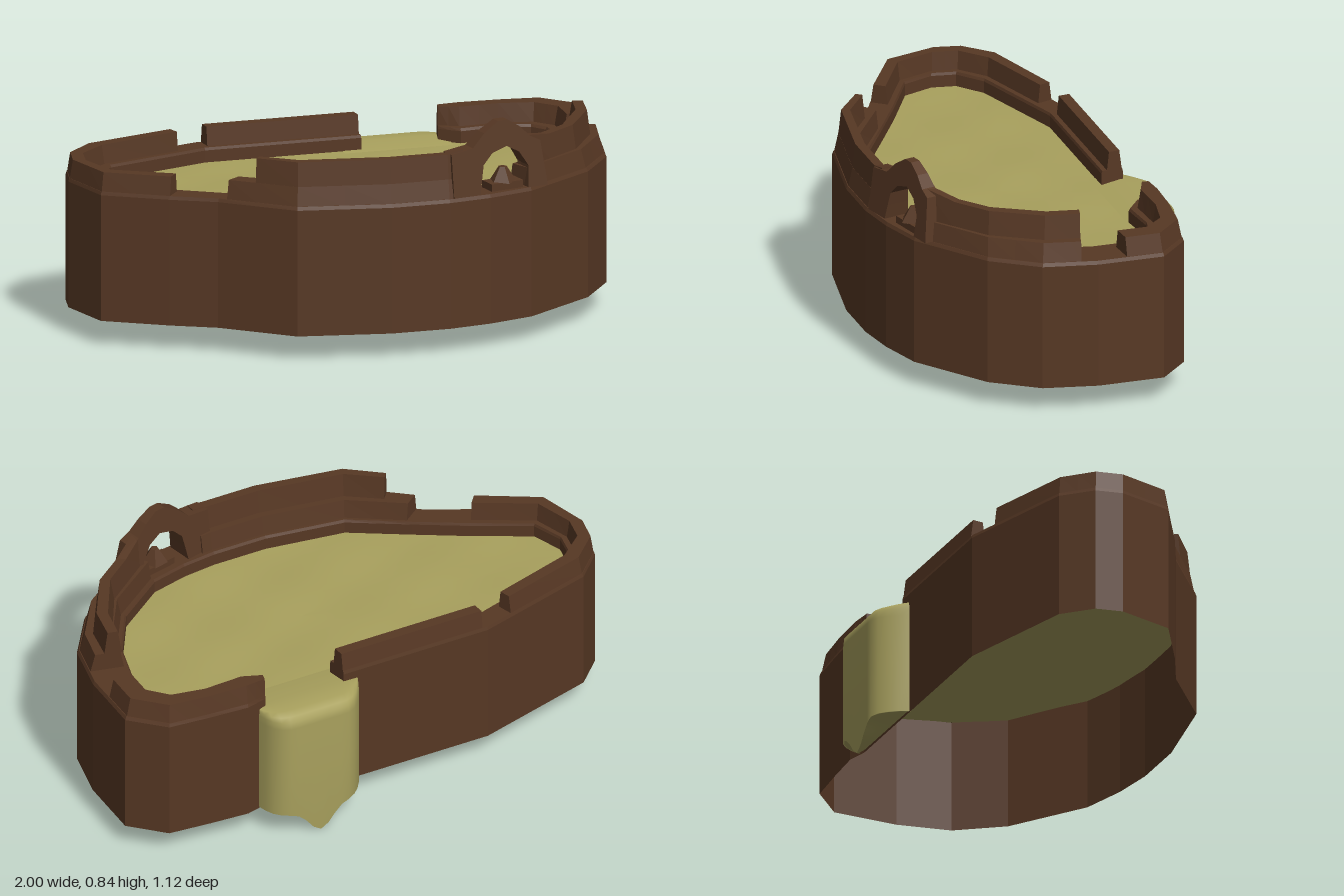
import * as THREE from 'three';

// Plan of the basin: [outer x, outer z, inner x, inner z], from the spout round by the right, front and left
const STATIONS = [
  [.49, -.45, .48, -.4], [.57, -.47, .55, -.345], [.72, -.46, .7, -.36], [.88, -.445, .81, -.33],
  [1, -.33, .85, -.28], [1, -.08, .85, -.1], [.96, .12, .81, .05], [.84, .29, .7, .23],
  [.57, .48, .51, .37], [.4, .53, .37, .405], [.24, .555, .24, .42], [.02, .555, .03, .42],
  [-.32, .495, -.27, .375], [-.56, .3, -.48, .25], [-.72, .22, -.66, .145], [-.94, .09, -.865, .035],
  [-1, -.12, -.91, -.08], [-.98, -.22, -.895, -.17], [-.88, -.32, -.8, -.245],
  [-.42, -.45, -.41, -.365], [.17, -.45, .18, -.365],
];
const N = STATIONS.length;
const RIM = 0.585, TIER = 0.655, WATER = 0.525;

// Point at station s, fraction f from the outer to the inner outline
function at(s, f, y) {
  const i = Math.floor(s), t = s - i;
  const a = STATIONS[i % N], b = STATIONS[(i + 1) % N];
  const p = a.map((v, k) => v + (b[k] - v) * t);
  return [p[0] + (p[2] - p[0]) * f, y, p[1] + (p[3] - p[1]) * f];
}

function geometry(positions, index) {
  const g = new THREE.BufferGeometry();
  g.setAttribute('position', new THREE.Float32BufferAttribute(positions.flat(), 3));
  g.setIndex(index);
  g.computeVertexNormals();
  return g;
}

// Sweep a section [[f, y], ...] along the outline from s0 to s1
function sweep(s0, s1, section, closed = true) {
  const steps = [s0];
  for (let s = Math.floor(s0 * 2 + 1) / 2; s < s1; s += 0.5) steps.push(s);
  steps.push(s1);
  const pos = [], idx = [];
  let m = 0;
  for (const s of steps) {
    const sec = section(s);
    m = sec.length;
    for (const [f, y] of sec) pos.push(at(s, f, y));
  }
  for (let i = 0; i < steps.length - 1; i++) {
    for (let j = 0; j < (closed ? m : m - 1); j++) {
      const a = i * m + j, b = i * m + (j + 1) % m;
      idx.push(a, b, b + m, a, b + m, a + m);
    }
  }
  if (closed) {
    const e = (steps.length - 1) * m;
    for (let j = 1; j < m - 1; j++) idx.push(0, j + 1, j, e, e + j, e + j + 1);
  }
  return geometry(pos, idx);
}

// Raised wall height, climbing towards the arch
function parapetTop(s) {
  if (s > 7.5 && s < 8.5) return 0.745 + 0.025 * Math.min(1, (s - 7.5) / 0.4);
  if (s > 9 && s < 10) return 0.745 + 0.012 * (10 - s) / 0.4;
  return 0.745;
}

// Broken arch, thicker at its foot than at its crown
function archGeometry() {
  const shape = new THREE.Shape([
    [-.22, .585], [-.11, .585], [-.1, .64], [-.09, .69], [-.05, .73], [.01, .747], [.06, .72],
    [.095, .665], [.09, .585], [.17, .585], [.15, .75], [.11, .77], [.07, .81], [.02, .842],
    [-.02, .842], [-.08, .805], [-.13, .757], [-.22, .745],
  ].map(([x, y]) => new THREE.Vector2(x, y)));
  const g = new THREE.ExtrudeGeometry(shape, { depth: 1, bevelEnabled: false });
  const p = g.attributes.position;
  for (let i = 0; i < p.count; i++) {
    const width = 0.1 - 0.065 * (p.getY(i) - RIM) / 0.26;
    p.setZ(i, (p.getZ(i) - 0.5) * width);
  }
  g.computeVertexNormals();
  return g;
}

// Gently rippled surface, as rings from the centre to the wall
function waterGeometry() {
  const RINGS = 12, SEG = N * 3, pos = [], idx = [];
  for (let r = 0; r <= RINGS; r++) {
    for (let k = 0; k < SEG; k++) {
      const [ox, , oz] = at(k / 3, 0.02, 0);
      const t = r / RINGS, x = 0.1 + (ox - 0.1) * t, z = oz * t;
      const ripple = 0.004 * Math.sin(x * 11 + z * 5) * Math.sin(z * 13 - x * 3);
      pos.push([x, WATER + ripple, z]);
      if (r < RINGS) {
        const a = r * SEG + k, b = r * SEG + (k + 1) % SEG;
        idx.push(a, b + SEG, b, a, a + SEG, b + SEG);
      }
    }
  }
  return geometry(pos, idx);
}

// Overflow: over the lip, down the back and into a hanging drip
function spillGeometry() {
  const plan = [[.11, -.45], [.125, -.485], [.15, -.52], [.175, -.545], [.205, -.56], [.235, -.56],
    [.265, -.56], [.29, -.56], [.32, -.56], [.35, -.56], [.38, -.56], [.41, -.56], [.44, -.558],
    [.47, -.545], [.495, -.52], [.51, -.49], [.52, -.455]];
  const pos = [], idx = [], M = 10;
  plan.forEach(([x, z], i) => {
    const drip = 0.1 * Math.exp(-(((x - 0.32) / 0.065) ** 2));
    const out = f => -0.44 + (z + 0.44) * f;
    pos.push([x, 0.528, -0.34], [x, 0.542, -0.44], [x, 0.538, out(0.6)], [x, 0.528, out(0.85)],
      [x, 0.512, out(0.97)], [x, 0.485, z], [x, 0.3, z], [x, 0.105 - drip, z],
      [x, 0.105, z + 0.008], [x, 0.11, -0.445]);
    if (i < plan.length - 1) {
      for (let j = 0; j < M - 1; j++) {
        const a = i * M + j, b = a + M;
        idx.push(a, b, b + 1, a, b + 1, a + 1);
      }
    }
  });
  return geometry(pos, idx);
}

export function createModel() {
  const model = new THREE.Group();
  const brown = new THREE.MeshStandardMaterial({ color: 0x573824, flatShading: true, side: THREE.DoubleSide });
  brown.name = 'brown wall';
  const olive = new THREE.MeshStandardMaterial({ color: 0xa8a05d, side: THREE.DoubleSide });
  olive.name = 'olive liquid';
  const add = (name, geo, mat = brown, parent = model) => {
    const mesh = new THREE.Mesh(geo, mat);
    mesh.name = name;
    parent.add(mesh);
    return mesh;
  };

  // Outer shell, open below, and the rim on top with a gap for the spout
  add('outerWall', sweep(0, N, () => [[0, 0.1], [0, 0.53]], false));
  add('rim', sweep(0, N - 1, () => [[0, 0.53], [0, 0.572], [0.04, RIM], [0.96, RIM], [1, 0.575], [1, 0.53]]));

  // Low kerbs between the notches; the front ones carry the raised wall
  const kerb = inner => () => [[0.05, RIM - 0.005], [0.17, TIER], [inner, TIER], [inner + 0.1, RIM - 0.005]];
  [['backRightKerb', 0, 4.55, 0.65], ['frontLeftKerb', 5.3, 8, 0.78], ['frontRightKerb', 9.7, 12.9, 0.78],
    ['sideKerb', 14, 18.75, 0.65], ['backKerb', 19.03, 20, 0.65]]
    .forEach(([name, s0, s1, inner]) => add(name, sweep(s0, s1, kerb(inner))));

  // Raised front wall on both sides of the arch
  const raised = s => {
    const f = 0.2 + 0.06 * Math.max(0, 9 - s);
    return [[f - 0.03, TIER - 0.005], [f + 0.05, parapetTop(s)], [f + 0.3, parapetTop(s)], [f + 0.4, TIER - 0.005]];
  };
  add('raisedWallLeft', sweep(5.3, 7.95, raised));
  add('raisedWallRight', sweep(9.6, 12.55, raised));

  // Arch with a small broken stump in its opening
  const archGroup = new THREE.Group();
  archGroup.name = 'archGroup';
  archGroup.position.set(0.46, 0, 0.45);
  archGroup.rotation.y = 0.23;
  model.add(archGroup);
  add('arch', archGeometry(), brown, archGroup);
  add('stumpBase', new THREE.BoxGeometry(0.13, 0.03, 0.07), brown, archGroup).position.set(0.01, 0.597, 0);
  add('stump', new THREE.CylinderGeometry(0.015, 0.05, 0.055, 5), brown, archGroup).position.set(0.01, 0.637, 0);

  // Liquid
  add('liquidSurface', waterGeometry(), olive);
  add('overflow', spillGeometry(), olive);
  return model;
}
